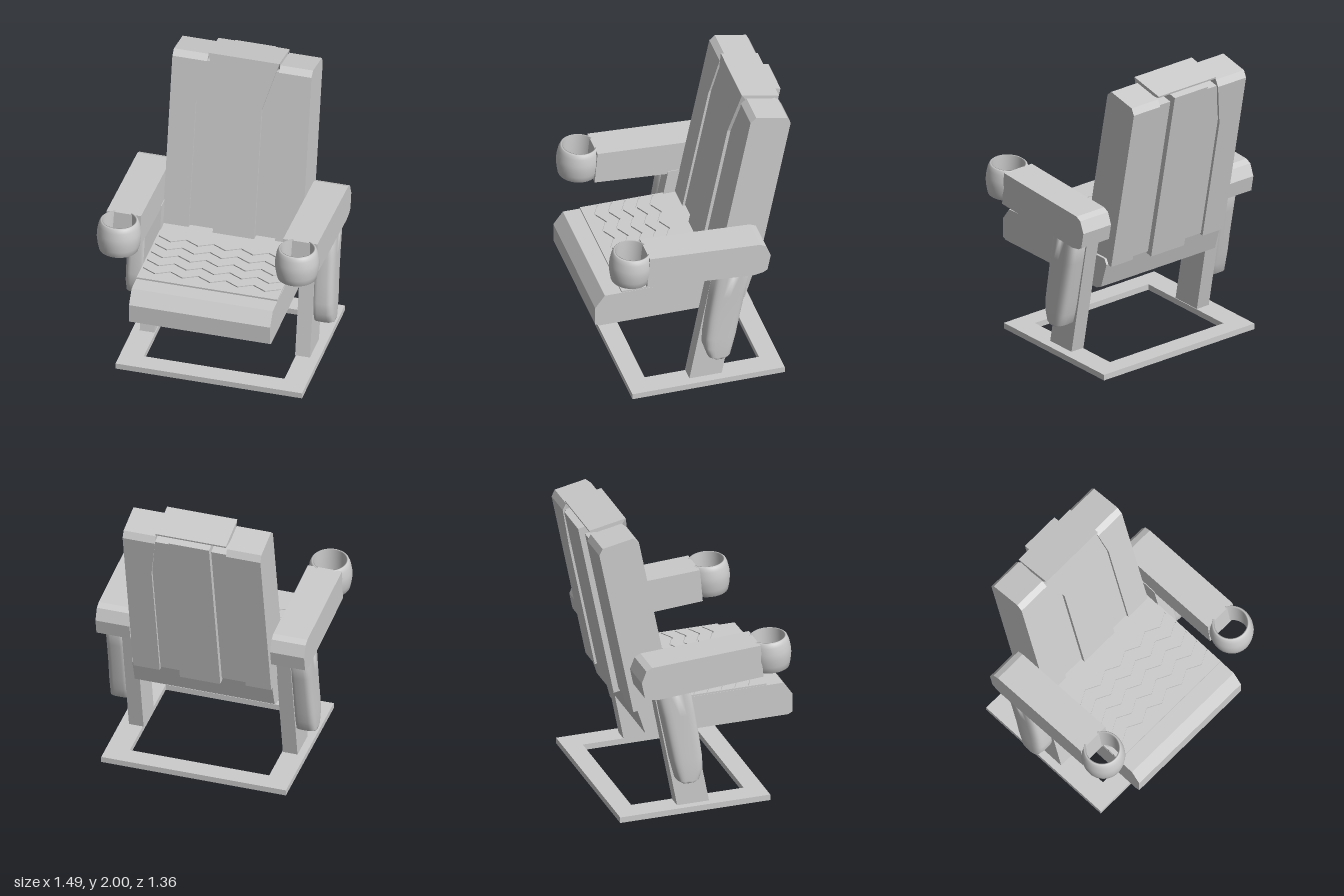
import * as THREE from 'three';

const grey = new THREE.MeshStandardMaterial({ color: 0xcccccc });
const flat = new THREE.MeshStandardMaterial({ color: 0xcccccc, flatShading: true });

const outline = (pts) => new THREE.Shape(pts.map(([a, b]) => new THREE.Vector2(a, b)));

function add(parent, name, geometry, material = flat) {
  const mesh = new THREE.Mesh(geometry, material);
  mesh.name = name;
  parent.add(mesh);
  return mesh;
}

// Side profile of [z, y] points spanning x0..x1
function sidePrism(pts, x0, x1) {
  const g = new THREE.ExtrudeGeometry(outline(pts), { depth: x1 - x0, bevelEnabled: false });
  return g.rotateY(-Math.PI / 2).translate(x1, 0, 0);
}

// Front outline of [x, y] points spanning z0..z1
function frontPrism(pts, z0, z1, steps = 1) {
  const g = new THREE.ExtrudeGeometry(outline(pts), { depth: z1 - z0, steps, bevelEnabled: false });
  return g.translate(0, 0, z0);
}

// Horizontal plate from a shape in x and z, with its upper face at the given height
function plate(shape, depth, top) {
  const g = new THREE.ExtrudeGeometry(shape, { depth, bevelEnabled: false });
  return g.rotateX(Math.PI / 2).translate(0, top, 0);
}

// Rounded loft through rising horizontal sections [y, zFront, zBack, xInner, xOuter]
function loft(sections, n = 32) {
  const pos = [], idx = [];
  const bump = (v) => Math.sign(v) * Math.pow(Math.abs(v), 0.55);
  for (const [y, zf, zb, xi, xo] of sections) {
    for (let i = 0; i < n; i++) {
      const a = (i / n) * Math.PI * 2;
      pos.push((xi + xo) / 2 + bump(Math.cos(a)) * (xo - xi) / 2, y,
        (zf + zb) / 2 + bump(Math.sin(a)) * (zf - zb) / 2);
    }
  }
  for (let s = 0; s < sections.length - 1; s++) {
    for (let i = 0; i < n; i++) {
      const a = s * n + i, b = s * n + (i + 1) % n;
      idx.push(a, a + n, b, b, a + n, b + n);
    }
  }
  const last = (sections.length - 1) * n;
  for (let i = 1; i < n - 1; i++) {
    idx.push(0, i, i + 1, last, last + i + 1, last + i);
  }
  const g = new THREE.BufferGeometry();
  g.setAttribute('position', new THREE.Float32BufferAttribute(pos, 3));
  g.setIndex(idx);
  g.computeVertexNormals();
  return g;
}

function makeBase() {
  const s = outline([[-0.625, -0.56], [0.635, -0.56], [0.635, 0.475], [-0.625, 0.475]]);
  s.holes.push(outline([[-0.47, -0.43], [-0.47, 0.345], [0.48, 0.345], [0.48, -0.43]]));
  return plate(s, 0.04, 0.04);
}

function makeSeat() {
  const seat = new THREE.Group();
  seat.name = 'seat';
  add(seat, 'seatCushion', sidePrism([
    [0.68, 0.54], [0.68, 0.67], [0.615, 0.758], [-0.37, 0.758],
    [-0.39, 0.72], [-0.335, 0.545], [-0.29, 0.525], [0.65, 0.525],
  ], -0.477, 0.477));
  // Raised pad with zigzag grooves across it
  const rows = 6, teeth = 10, z0 = -0.063, z1 = 0.5;
  const pad = outline([[-0.475, z0], [0.475, z0], [0.475, z1], [-0.475, z1]]);
  for (let r = 1; r < rows; r++) {
    const edge = (shift) => Array.from({ length: teeth + 1 }, (_, i) => [
      -0.465 + (0.93 * i) / teeth, z0 + (r * (z1 - z0)) / rows + shift + (i % 2 ? 0.024 : -0.024)]);
    pad.holes.push(outline([...edge(-0.005), ...edge(0.005).reverse()]));
  }
  add(seat, 'seatPad', plate(pad, 0.014, 0.77));
  return seat;
}

function makeBackrest() {
  const back = new THREE.Group();
  back.name = 'backrest';
  back.rotation.x = -0.198;
  // Recessed core behind the gaps
  add(back, 'backCore', frontPrism([[-0.32, 0.79], [0.32, 0.79], [0.32, 1.7], [0.25, 1.97],
    [-0.25, 1.97], [-0.32, 1.7]], -0.25, -0.008));
  // Outer panels with eased top edges
  const steps = 9, z0 = -0.27, z1 = 0.008;
  const panels = [
    [[-0.48, 0.78], [-0.305, 0.78], [-0.305, 1.69], [-0.245, 2.013], [-0.48, 2.013]],
    [[0.28, 0.78], [0.46, 0.78], [0.46, 2.013], [0.24, 2.013], [0.28, 1.69]],
  ];
  for (const pts of panels) {
    const g = frontPrism(pts, z0, z1, steps);
    const p = g.attributes.position;
    for (let i = 0; i < p.count; i++) {
      const layer = Math.round(((p.getZ(i) - z0) / (z1 - z0)) * steps);
      if (p.getY(i) > 2 && layer % steps === 0) p.setY(i, p.getY(i) - 0.04);
    }
    g.computeVertexNormals();
    add(back, 'sidePanel', g);
  }
  // Flared centre panel, rear spine and headrest cap
  add(back, 'centrePanel', frontPrism([[-0.14, 0.77], [0.14, 0.77], [0.14, 1.69], [0.24, 2.037],
    [-0.24, 2.037], [-0.14, 1.69]], -0.06, 0.014));
  add(back, 'spine', frontPrism([[-0.138, 0.77], [0.138, 0.77], [0.138, 2.02], [-0.138, 2.02]],
    -0.288, -0.06));
  add(back, 'headrestCap', sidePrism([[0.012, 2.037], [-0.242, 2.037], [-0.242, 2.025],
    [-0.05, 1.97]], -0.24, 0.24));
  return back;
}

// One arm assembly on the +x side
function makeArmSide(name) {
  const side = new THREE.Group();
  side.name = name;
  add(side, 'leg', sidePrism([[0.07, 0.04], [-0.1, 0.93], [-0.32, 0.93], [-0.15, 0.04]],
    0.475, 0.575));
  add(side, 'armrest', sidePrism([
    [0.398, 0.945], [0.378, 1.172], [-0.37, 1.13], [-0.41, 1.11], [-0.442, 1.03],
    [-0.42, 0.92], [-0.39, 0.903], [-0.33, 0.892],
  ], 0.48, 0.712));
  add(side, 'legGuard', loft([
    [0.25, -0.06, -0.155, 0.575, 0.7], [0.265, -0.03, -0.18, 0.56, 0.703],
    [0.34, -0.006, -0.2, 0.553, 0.705], [0.42, -0.008, -0.22, 0.553, 0.705],
    [0.56, -0.027, -0.247, 0.553, 0.702], [0.74, -0.056, -0.284, 0.553, 0.702],
    [0.93, -0.093, -0.32, 0.553, 0.705],
  ]), grey);

  // Barrel-shaped cup holder, open at the top and cut where it meets the armrest
  const cup = new THREE.Group();
  cup.name = 'cupHolder';
  cup.position.set(0.602, 1.071, 0.474);
  cup.rotation.x = -0.06;
  const wall = [[0.112, -0.111], [0.128, -0.103], [0.138, -0.06], [0.145, -0.01], [0.143, 0.03],
    [0.135, 0.078], [0.125, 0.104], [0.117, 0.111], [0.108, 0.109], [0.108, -0.1]];
  const arc = Math.PI - 0.5;
  add(cup, 'cupWall', new THREE.LatheGeometry(wall.map(([r, y]) => new THREE.Vector2(r, y)),
    40, -arc, 2 * arc), grey);
  add(cup, 'cupBottom', new THREE.CircleGeometry(0.113, 40).rotateX(Math.PI / 2)
    .translate(0, -0.111, 0), grey);
  side.add(cup);
  return side;
}

export function createModel() {
  const model = new THREE.Group();
  model.name = 'chair';
  add(model, 'baseFrame', makeBase());
  const right = makeArmSide('rightArm');
  right.scale.x = -1;
  model.add(makeSeat(), makeBackrest(), makeArmSide('leftArm'), right);
  return model;
}
